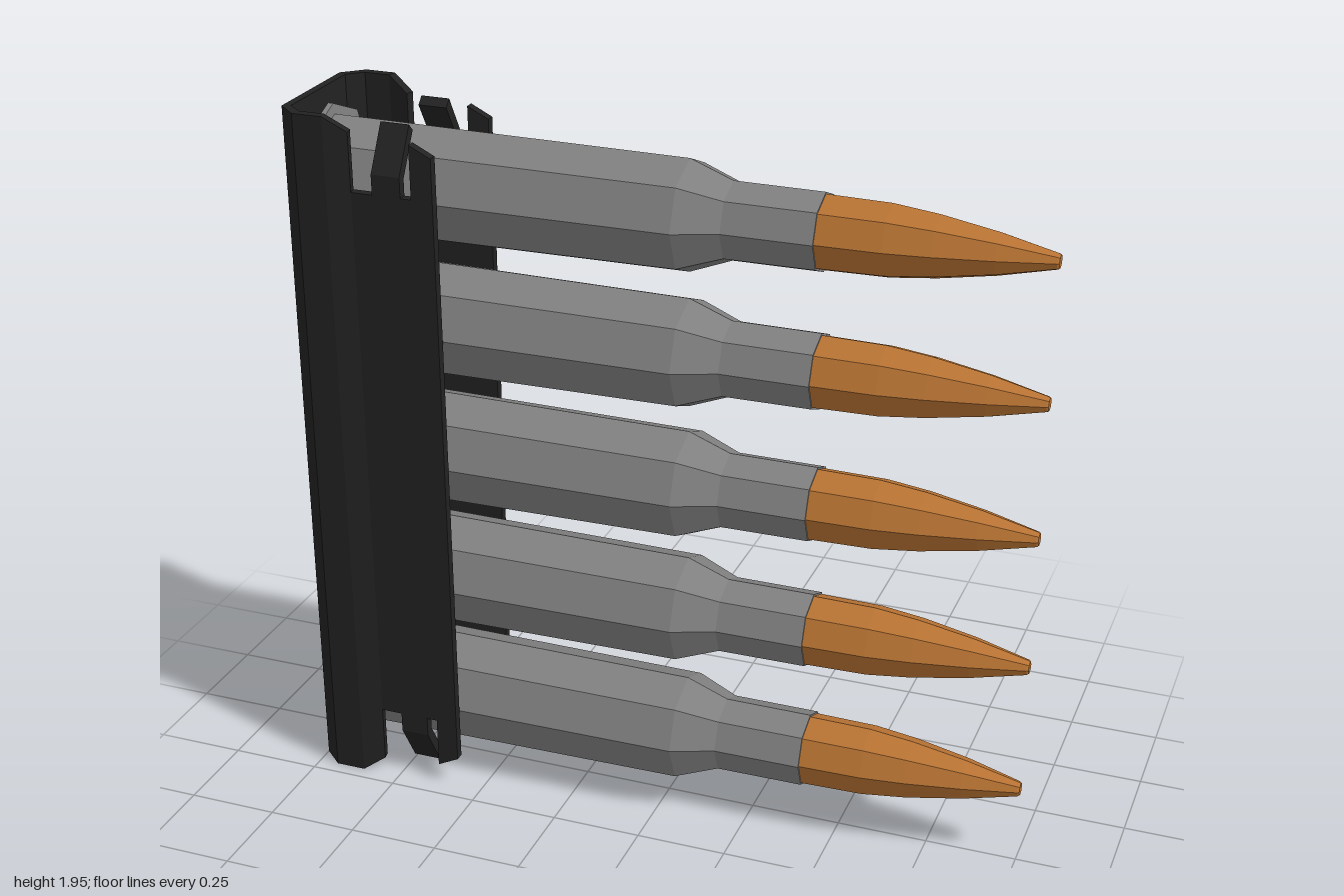
import * as THREE from 'three';

const HEIGHT = 1.945, ROUNDS = 5, PITCH = 0.375, FIRST = 0.225;

function material(name, color) {
  const m = new THREE.MeshStandardMaterial({ color, flatShading: true });
  m.name = name;
  return m;
}

// Eight-sided turned part lying along x; profile is [x, radius] pairs
function turned(name, profile, mat) {
  const points = profile.map(([x, r]) => new THREE.Vector2(r, x));
  const geometry = new THREE.LatheGeometry(points, 8).rotateZ(-Math.PI / 2);
  const mesh = new THREE.Mesh(geometry, mat);
  mesh.name = name;
  return mesh;
}

// Bent sheet lofted through stations [outerX, outerZ, innerX, innerZ, end margin]
function sheet(stations) {
  const pos = [], index = [];
  for (const [ox, oz, ix, iz, m] of stations) {
    pos.push(ox, m, oz, ox, HEIGHT - m, oz, ix, HEIGHT - m, iz, ix, m, iz);
  }
  const quad = (a, b, c, d) => index.push(a, b, c, a, c, d);
  const last = (stations.length - 1) * 4;
  for (let i = 0; i < last; i += 4) {
    for (let k = 0; k < 4; k++) {
      const n = (k + 1) % 4;
      quad(i + k, i + n, i + 4 + n, i + 4 + k);
    }
  }
  quad(3, 2, 1, 0);
  quad(last, last + 1, last + 2, last + 3);
  const g = new THREE.BufferGeometry();
  g.setAttribute('position', new THREE.Float32BufferAttribute(pos, 3));
  g.setIndex(index);
  const flat = g.toNonIndexed();
  flat.computeVertexNormals();
  return flat;
}

export function createModel() {
  const model = new THREE.Group();
  model.name = 'loadedClip';
  const steel = material('dark steel', 0x222222);
  const grey = material('grey casing', 0x808080);
  const copper = material('copper', 0xb87333);

  // Folded channel: lip, side, back, side, lip
  const half = [
    [-0.57, 0.19, -0.57, 0.165, 0.085],
    [-0.63, 0.19, -0.63, 0.165, 0.055],
    [-0.63, 0.19, -0.63, 0.165, 0.2],
    [-0.8, 0.19, -0.805, 0.165, 0.2],
    [-0.8, 0.19, -0.805, 0.165, 0.04],
    [-0.86, 0.21, -0.865, 0.185, 0],
    [-0.945, 0.21, -0.937, 0.185, 0],
    [-1, 0.16, -0.978, 0.15, 0],
  ];
  const mirrored = half.map(([ox, oz, ix, iz, m]) => [ox, -oz, ix, -iz, m]).reverse();
  const channel = new THREE.Mesh(sheet([...half, ...mirrored]), steel);
  channel.name = 'clipChannel';
  model.add(channel);

  // Retaining tabs bent inwards at both ends of each lip
  const tabProfile = [[0.165, 1.74], [0.165, 1.79], [0.1, 1.9], [0.12, 1.92], [0.19, 1.8], [0.19, 1.74]];
  for (const side of [1, -1]) {
    for (const top of [true, false]) {
      const shape = new THREE.Shape(tabProfile.map(([z, y]) =>
        new THREE.Vector2(side * z, top ? y : HEIGHT - y)));
      const g = new THREE.ExtrudeGeometry(shape, { depth: 0.08, bevelEnabled: false });
      g.rotateY(-Math.PI / 2).translate(-0.66, 0, 0);
      const tab = new THREE.Mesh(g, steel);
      tab.name = 'retainingTab';
      model.add(tab);
    }
  }

  // Row of cartridges
  for (let i = 0; i < ROUNDS; i++) {
    const round = new THREE.Group();
    round.name = 'cartridge';
    round.position.y = FIRST + i * PITCH;
    round.add(turned('casing', [
      [-0.96, 0], [-0.96, 0.17], [-0.953, 0.187], [-0.938, 0.187], [-0.935, 0.159],
      [0.055, 0.151], [0.17, 0.106], [0.41, 0.105], [0.41, 0],
    ], grey));
    round.add(turned('bulletTip', [
      [0.4, 0.1], [0.58, 0.097], [0.7, 0.083], [0.85, 0.056], [0.995, 0.021], [1, 0.017], [1, 0],
    ], copper));
    model.add(round);
  }
  return model;
}
